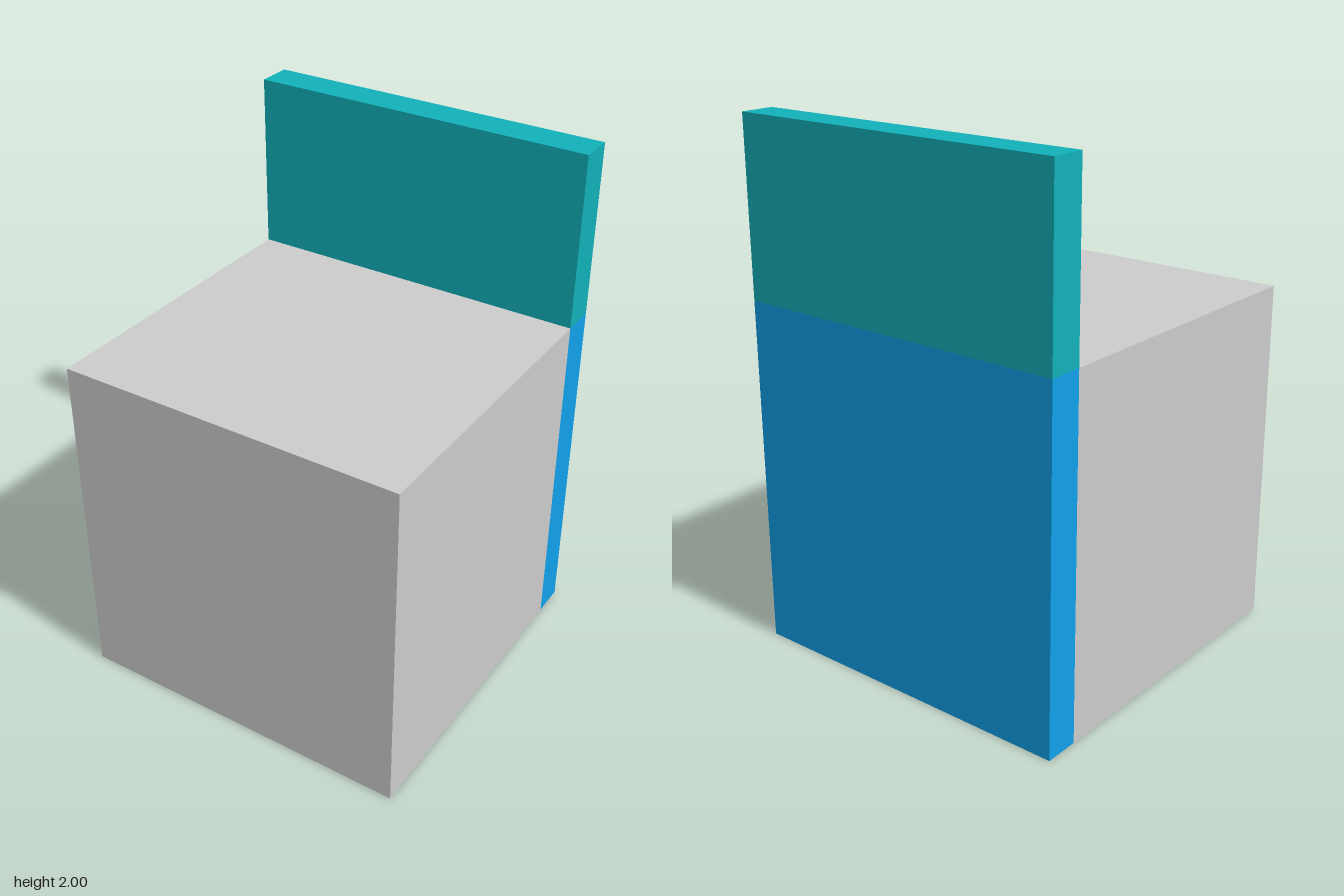
import * as THREE from 'three';

const WIDTH = 4 / 3;
const SEAT_TOP = 4 / 3;
const FRONT = 2 / 3;
const SPLIT = -8 / 15; // where the seat block meets the back panel
const BACK = -2 / 3;

// Full-width box spanning the given heights and depths
function block(name, color, y0, y1, z0, z1) {
  const mesh = new THREE.Mesh(
    new THREE.BoxGeometry(WIDTH, y1 - y0, z1 - z0),
    new THREE.MeshStandardMaterial({ color })
  );
  mesh.name = name;
  mesh.position.set(0, (y0 + y1) / 2, (z0 + z1) / 2);
  return mesh;
}

export function createModel() {
  const model = new THREE.Group();
  model.name = 'blockChair';
  model.add(
    // Solid cube-like seat
    block('seat', 0xcccccc, 0, SEAT_TOP, SPLIT, FRONT),
    // Panel behind the seat
    block('lowerBack', 0x10a0ea, 0, SEAT_TOP, BACK, SPLIT),
    // Backrest rising above the seat
    block('backrest', 0x12b0b9, SEAT_TOP, 2, BACK, SPLIT)
  );
  return model;
}
